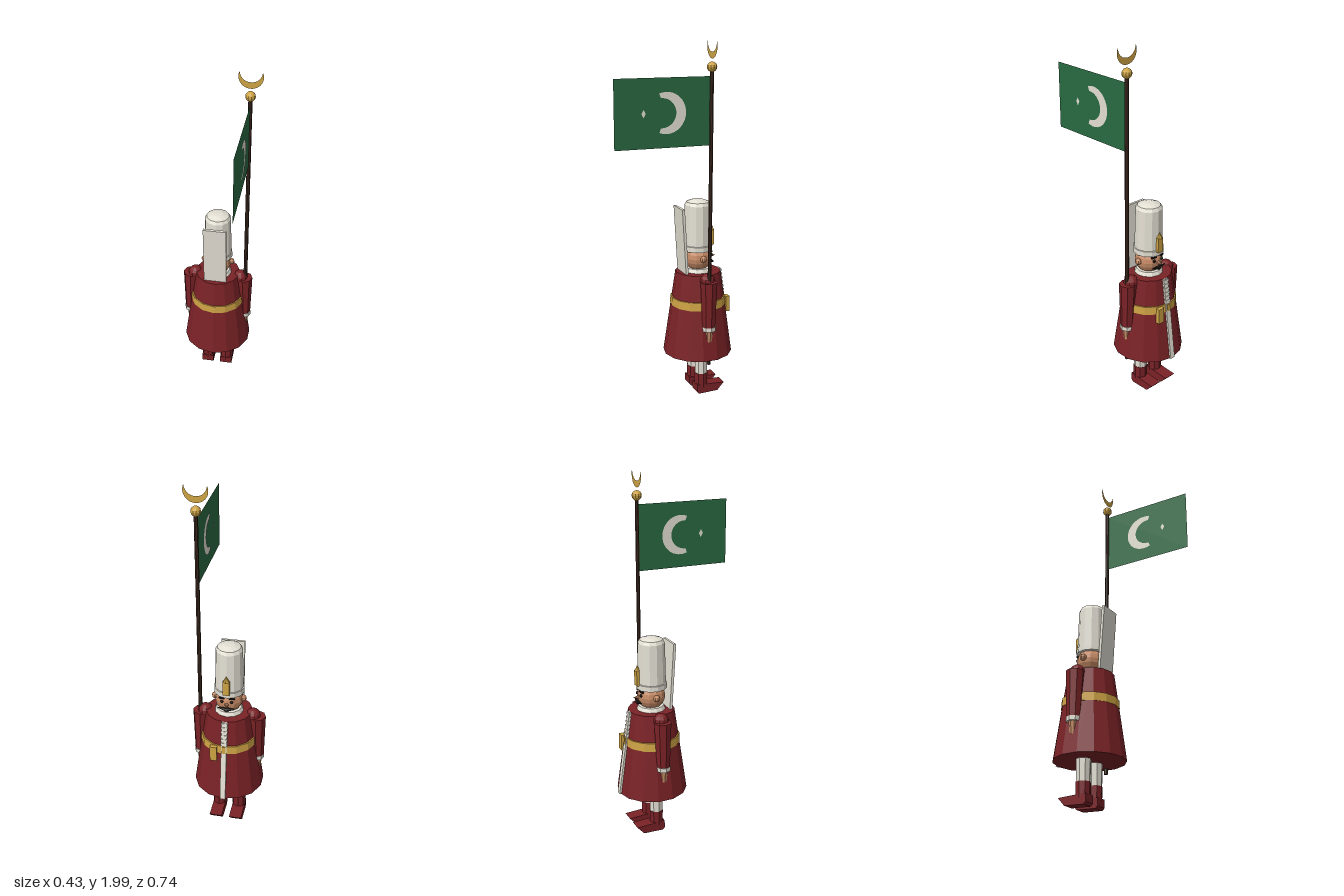
import * as THREE from 'three';

const mat = (name, color) => {
  const m = new THREE.MeshStandardMaterial({ color });
  m.name = name;
  return m;
};

// Faceted normals
const flat = (geo) => {
  const g = geo.index ? geo.toNonIndexed() : geo;
  g.computeVertexNormals();
  return g;
};

export function createModel() {
  const red = mat('dark red', 0x7a2226);
  const white = mat('off white', 0xe4e0d4);
  const gold = mat('gold', 0xcfa445);
  const skin = mat('skin', 0xc68b66);
  const wood = mat('dark wood', 0x3f2a20);
  const black = mat('black', 0x1c1714);
  const green = mat('green', 0x296a40);
  green.side = THREE.DoubleSide;
  const goldSheet = mat('gold sheet', 0xcfa445);
  goldSheet.side = THREE.DoubleSide;
  const emblem = mat('flag white', 0xe4e0d4);
  emblem.side = THREE.DoubleSide;

  const model = new THREE.Group();
  model.name = 'standardBearer';
  const figure = new THREE.Group();
  figure.name = 'figure';
  figure.position.set(-0.011, 0, -0.166);
  model.add(figure);

  const add = (parent, name, geo, material, x = 0, y = 0, z = 0) => {
    const m = new THREE.Mesh(flat(geo), material);
    m.name = name;
    m.position.set(x, y, z);
    parent.add(m);
    return m;
  };
  const cyl = (rTop, rBottom, h, n) => new THREE.CylinderGeometry(rTop, rBottom, h, n);
  const box = (w, h, d) => new THREE.BoxGeometry(w, h, d);
  const ball = (r, w = 10, h = 8) => new THREE.SphereGeometry(r, w, h);

  // Robe, belt and collar
  add(figure, 'robe', cyl(0.128, 0.196, 0.48, 14), red, 0, 0.48, 0);
  add(figure, 'belt', cyl(0.156, 0.158, 0.047, 14), gold, 0, 0.549, 0);
  add(figure, 'collar', cyl(0.07, 0.08, 0.022, 12), white, 0, 0.73, 0);

  // Front trim with cross bars, buckle and pouch
  const trim = new THREE.Group();
  trim.name = 'frontTrim';
  trim.position.set(0, 0.48, -0.163);
  trim.rotation.x = 0.141;
  figure.add(trim);
  add(trim, 'trimStrip', box(0.03, 0.485, 0.012), white);
  for (let i = 0; i < 6; i++) {
    add(trim, 'trimBar', box(0.036, 0.012, 0.018), white, 0, 0.11 + i * 0.024, 0);
  }
  add(figure, 'buckle', box(0.02, 0.05, 0.02), gold, 0, 0.549, -0.152);
  add(figure, 'pouch', box(0.038, 0.09, 0.022), gold, 0.058, 0.522, -0.154);

  // Foot profile with an upturned toe
  const foot = new THREE.Shape([
    [-0.037, 0.012], [-0.025, 0], [0.09, 0.004], [0.13, 0.048], [0.04, 0.052], [-0.037, 0.056],
  ].map(([a, b]) => new THREE.Vector2(a, b)));

  for (const s of [-1, 1]) {
    // Leg and boot
    add(figure, 'leg', cyl(0.042, 0.037, 0.2, 8), white, s * 0.057, 0.2, 0);
    add(figure, 'bootShaft', cyl(0.04, 0.038, 0.085, 8), red, s * 0.057, 0.078, 0);
    const footGeo = new THREE.ExtrudeGeometry(foot, { depth: 0.07, bevelEnabled: false });
    footGeo.translate(0, 0, -0.035).rotateY(Math.PI / 2);
    add(figure, 'foot', footGeo, red, s * 0.057, 0, 0);

    // Arm
    const arm = new THREE.Group();
    arm.name = s > 0 ? 'leftArm' : 'rightArm';
    figure.add(arm);
    add(arm, 'shoulder', ball(0.042), red, s * 0.133, 0.695, 0);
    const sleeve = cyl(0.05, 0.038, 0.26, 8);
    add(arm, 'sleeve', sleeve, red, s * 0.157, 0.563, 0).rotation.z = s * 0.02;
    add(arm, 'cuff', cyl(0.041, 0.041, 0.024, 8), white, s * 0.159, 0.425, 0);
    add(arm, 'hand', cyl(0.026, 0.018, 0.075, 8), skin, s * 0.162, 0.383, 0);

    // Ear, eye, brow and moustache half
    add(figure, 'ear', ball(0.019, 8, 6), skin, s * 0.078, 0.802, 0);
    add(figure, 'eye', ball(0.009, 8, 6), black, s * 0.027, 0.812, -0.07);
    const brow = add(figure, 'brow', box(0.03, 0.008, 0.012), black, s * 0.028, 0.834, -0.068);
    brow.rotation.set(0, s * -0.35, s * -0.15);
    const whisker = add(figure, 'moustache', new THREE.ConeGeometry(0.013, 0.055, 6), black, s * 0.026, 0.771, -0.077);
    whisker.rotation.z = -s * 1.4;
  }

  // Head and nose
  add(figure, 'head', ball(0.078, 12, 10), skin, 0, 0.798, 0);
  add(figure, 'nose', new THREE.ConeGeometry(0.014, 0.04, 6), skin, 0, 0.797, -0.088).rotation.x = -Math.PI / 2;

  // Tall hat with band, domed crown, rear flap and front plume holder
  const hatProfile = [[0, 0.842], [0.084, 0.842], [0.084, 0.872], [0.079, 0.874], [0.074, 1.1], [0.064, 1.118], [0.03, 1.13], [0, 1.132]];
  add(figure, 'hat', new THREE.LatheGeometry(hatProfile.map((p) => new THREE.Vector2(...p)), 12), white, 0, 0, 0.004);
  add(figure, 'hatFlap', box(0.13, 0.375, 0.015), white, 0, 0.905, 0.103).rotation.x = 0.064;
  add(figure, 'plumeHolder', box(0.036, 0.085, 0.016), gold, 0, 0.908, -0.082);
  add(figure, 'plumeTip', new THREE.ConeGeometry(0.017, 0.034, 6), gold, 0, 0.965, -0.08);

  // Flag pole and finial ball
  const standard = new THREE.Group();
  standard.name = 'standard';
  standard.position.set(0.152, 0, -0.166);
  model.add(standard);
  add(standard, 'pole', cyl(0.011, 0.011, 1.65, 8), wood, 0, 1.035, 0);
  add(standard, 'finialBall', ball(0.027), gold, 0, 1.862, 0);

  // Crescent: outer arc with an inner edge that narrows to the tips
  const crescent = (r, half, width, tip) => {
    const outer = [], inner = [];
    for (let i = 0; i <= 24; i++) {
      const u = i / 12 - 1, a = u * half;
      const q = r - (tip + (width - tip) * (1 - u * u));
      outer.push(new THREE.Vector2(r * Math.cos(a), r * Math.sin(a)));
      inner.unshift(new THREE.Vector2(q * Math.cos(a), q * Math.sin(a)));
    }
    return new THREE.ShapeGeometry(new THREE.Shape([...outer, ...inner]));
  };
  const top = crescent(0.064, 1.98, 0.035, 0.001).rotateZ(-Math.PI / 2);
  add(standard, 'finialCrescent', top, goldSheet, 0, 1.968, 0);

  // Flag with the emblem on both faces
  add(standard, 'flag', new THREE.PlaneGeometry(0.535, 0.36).rotateY(Math.PI / 2), green, 0, 1.635, 0.2675);
  for (const s of [-1, 1]) {
    const moon = crescent(0.108, 1.95, 0.054, 0.025).rotateY(Math.PI / 2);
    add(standard, 'flagCrescent', moon, emblem, s * 0.003, 1.635, 0.253);
    const star = new THREE.CircleGeometry(0.022, 4).scale(0.55, 1, 1).rotateY(Math.PI / 2);
    add(standard, 'flagStar', star, emblem, s * 0.003, 1.635, 0.378);
  }
  return model;
}
